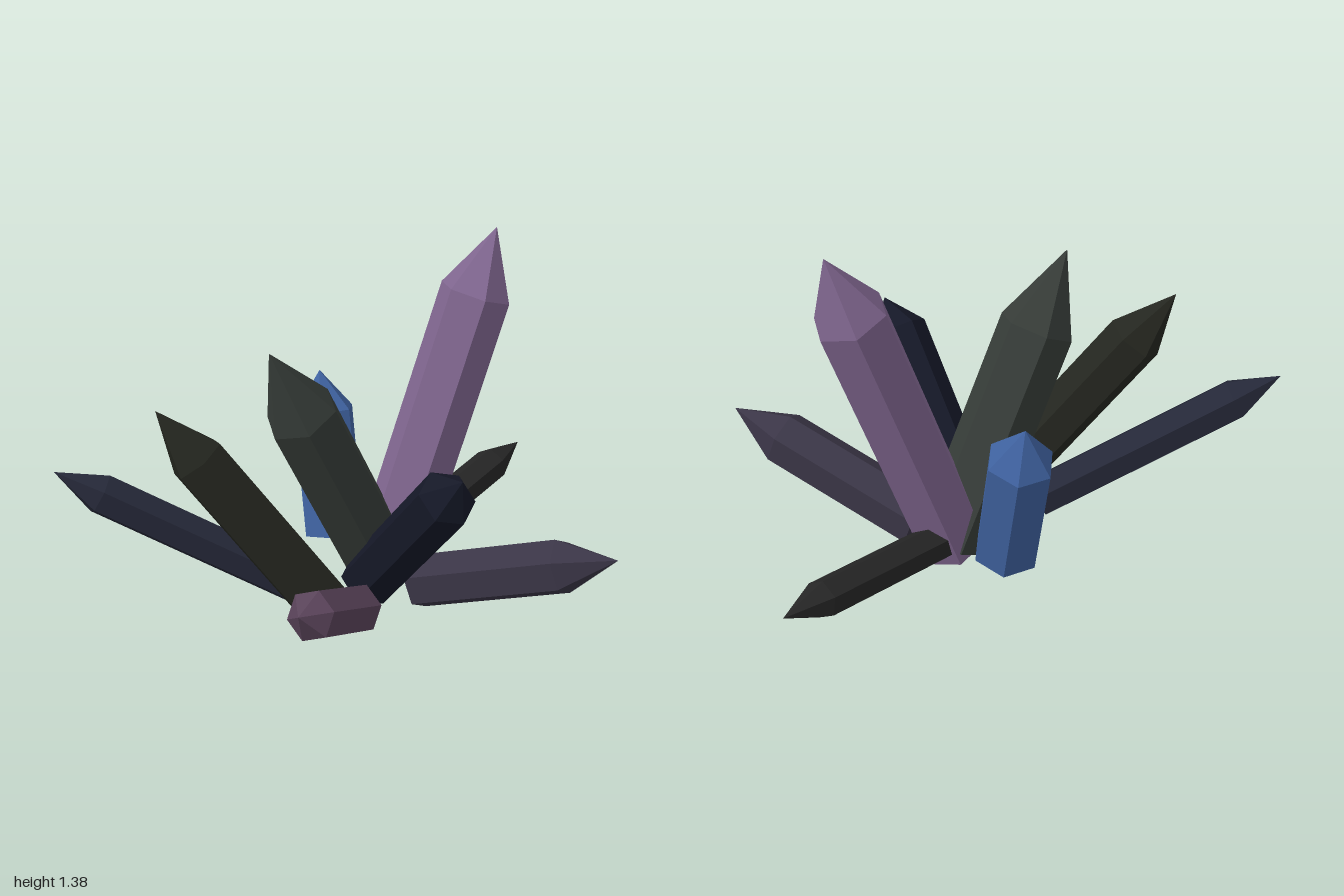
import * as THREE from 'three';

// Six-sided crystal: closed prism with a pointed end, running from base to tip.
// 'corner' is the direction one of the six edges faces.
function crystal({ name, base, tip, point, radius, corner, color }) {
  const start = new THREE.Vector3(...base);
  const axis = new THREE.Vector3(...tip).sub(start);
  const length = axis.length();
  axis.normalize();

  const profile = [[0, 0], [radius, 0], [radius, length - point], [0, length]]
    .map(([x, y]) => new THREE.Vector2(x, y));
  const geometry = new THREE.LatheGeometry(profile, 6);

  const edge = new THREE.Vector3(...corner);
  edge.addScaledVector(axis, -edge.dot(axis)).normalize();
  const side = new THREE.Vector3().crossVectors(axis, edge);

  const mesh = new THREE.Mesh(geometry, new THREE.MeshStandardMaterial({ color, flatShading: true }));
  mesh.name = name;
  mesh.quaternion.setFromRotationMatrix(new THREE.Matrix4().makeBasis(side, axis, edge));
  mesh.position.copy(start);
  return mesh;
}

const crystals = [
  // Two tall shards sharing a root
  { name: 'tallestCrystal', base: [0.19, 0.09, -0.16], tip: [0.655, 1.38, -0.19], point: 0.255, radius: 0.134, corner: [0.97, 0, -0.26], color: 0x80668f },
  { name: 'tallLeaningCrystal', base: [0.19, 0.09, -0.16], tip: [-0.325, 1.11, -0.035], point: 0.3, radius: 0.137, corner: [0.97, 0.4, -0.26], color: 0x363c38 },
  // Right-hand side, seen from the front
  { name: 'leftMiddleCrystal', base: [-0.16, 0.12, 0.1], tip: [-0.698, 0.909, -0.178], point: 0.23, radius: 0.106, corner: [0.2, 1, 0.2], color: 0x24261f },
  { name: 'leftLowCrystal', base: [-0.19, 0.135, -0.11], tip: [-1, 0.625, -0.438], point: 0.185, radius: 0.08, corner: [0, 1, 0], color: 0x252838 },
  // Front shards
  { name: 'frontUprightCrystal', base: [0.07, 0.12, -0.06], tip: [0.147, 0.756, 0.512], point: 0.13, radius: 0.108, corner: [0.97, -0.2, 0.2], color: 0x151827 },
  { name: 'frontShortCrystal', base: [-0.083, 0.15, 0.175], tip: [-0.43, 0.325, 0.42], point: 0.09, radius: 0.094, corner: [0.25, 1, 0], color: 0x594359 },
  { name: 'frontSpreadingCrystal', base: [0.25, 0.1, 0], tip: [0.728, 0.37, 0.615], point: 0.22, radius: 0.106, corner: [0, 1, 0], color: 0x3a3546 },
  // Side and back shards
  { name: 'sideLowCrystal', base: [0.2, 0.145, -0.19], tip: [0.997, 0.297, -0.558], point: 0.185, radius: 0.07, corner: [0, 1, 0], color: 0x262626 },
  { name: 'backCrystal', base: [0.09, 0.165, -0.393], tip: [0.106, 0.777, -0.558], point: 0.152, radius: 0.122, corner: [1, 0, 0], color: 0x3f62a0 },
];

export function createModel() {
  const model = new THREE.Group();
  model.name = 'crystalCluster';
  for (const spec of crystals) model.add(crystal(spec));
  return model;
}
